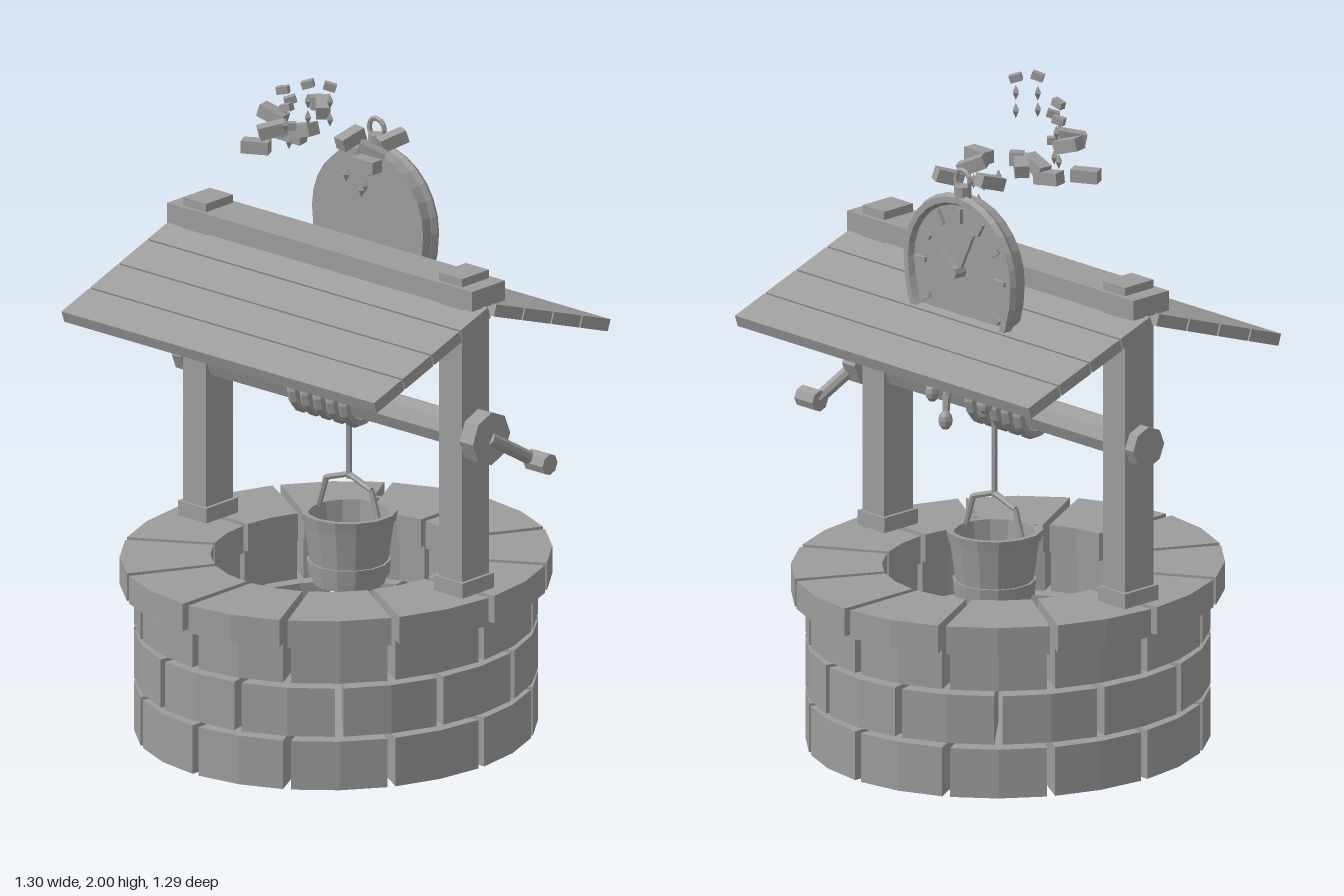
import * as THREE from 'three';

const stone = new THREE.MeshStandardMaterial({ color: 0x9c9c9c, flatShading: true });
stone.name = 'stone grey';
const CX = -0.04; // centre of the well in x

function add(parent, name, geometry, x = 0, y = 0, z = 0) {
  const mesh = new THREE.Mesh(geometry, stone);
  mesh.name = name;
  mesh.position.set(x, y, z);
  parent.add(mesh);
  return mesh;
}

function group(parent, name, x = 0, y = 0, z = 0) {
  const g = new THREE.Group();
  g.name = name;
  g.position.set(x, y, z);
  parent.add(g);
  return g;
}

// Round bar between two points
function bar(parent, name, a, b, r0, r1 = r0, sides = 6) {
  const p = new THREE.Vector3(...a), q = new THREE.Vector3(...b);
  const mesh = add(parent, name, new THREE.CylinderGeometry(r1, r0, p.distanceTo(q), sides));
  mesh.position.copy(p).add(q).multiplyScalar(0.5);
  mesh.quaternion.setFromUnitVectors(new THREE.Vector3(0, 1, 0), q.sub(p).normalize());
  return mesh;
}

// One curved block of a stone ring, 30 degrees wide with a narrow joint
function blockGeometry(inner, outer, height) {
  const shape = new THREE.Shape();
  const point = (r, t, joint) => {
    const a = (t - 0.5) * (Math.PI / 6 - joint / r);
    return new THREE.Vector2(r * Math.cos(a), r * Math.sin(a));
  };
  shape.setFromPoints([
    ...[0, 0.5, 1].map(t => point(outer, t, 0.025)),
    ...[1, 0.5, 0].map(t => point(inner, t, 0.02)),
  ]);
  return new THREE.ExtrudeGeometry(shape, { depth: height, bevelEnabled: false }).rotateX(-Math.PI / 2);
}

function addWall(model) {
  const wall = group(model, 'stoneWall', CX);
  wall.scale.x = 0.94;
  // inner radius, outer radius, bottom, top, angular offset in blocks
  const courses = [
    [0.39, 0.603, 0, 0.148, 0.5], [0.39, 0.603, 0.163, 0.31, 0],
    [0.39, 0.603, 0.325, 0.446, 0.5], [0.375, 0.646, 0.446, 0.53, 0.5],
  ];
  for (const [inner, outer, y0, y1, offset] of courses) {
    const geometry = blockGeometry(inner, outer, y1 - y0);
    for (let i = 0; i < 12; i++) {
      add(wall, 'wallBlock', geometry, 0, y0, 0).rotation.y = (i + offset) * Math.PI / 6;
    }
  }
  add(wall, 'water', new THREE.CylinderGeometry(0.395, 0.395, 0.03, 24), 0, 0.085, 0);
}

function addRoof(model) {
  for (const x of [-0.54, 0.46]) {
    add(model, 'post', new THREE.BoxGeometry(0.09, 0.97, 0.115), x, 1.015, 0);
    add(model, 'postFoot', new THREE.BoxGeometry(0.112, 0.045, 0.135), x, 0.5525, 0);
  }
  add(model, 'ridgeBeam', new THREE.BoxGeometry(1.19, 0.06, 0.142), CX, 1.445, 0);
  for (const side of [-1, 1]) {
    const slope = group(model, 'roofSlope', CX, 1.42, side * 0.015);
    slope.rotation.y = side < 0 ? Math.PI : 0;
    const tilt = group(slope, 'planks');
    tilt.rotation.x = 0.332;
    for (let i = 0; i < 4; i++) {
      add(tilt, 'roofPlank', new THREE.BoxGeometry(1.22, 0.036, 0.125), 0, -0.018, 0.066 + i * 0.131);
    }
  }
}

function addWinch(model) {
  const y = 1.012;
  const winch = group(model, 'winch');
  bar(winch, 'axle', [-0.6, y, 0], [0.53, y, 0], 0.053, 0.053, 8);
  bar(winch, 'leftCollar', [-0.625, y, 0], [-0.59, y, 0], 0.062, 0.062, 8);
  bar(winch, 'rightCollar', [0.515, y, 0], [0.567, y, 0], 0.08, 0.08, 8);
  // Crank
  bar(winch, 'crankArm', [0.56, y, 0], [0.59, 0.912, -0.16], 0.02, 0.02, 8);
  bar(winch, 'crankHandle', [0.575, 0.912, -0.16], [0.65, 0.912, -0.16], 0.032, 0.032, 8);
  // Rope coils and hanging rope
  const coil = new THREE.TorusGeometry(0.064, 0.018, 6, 14).rotateY(Math.PI / 2);
  for (let i = 0; i < 5; i++) add(winch, 'ropeCoil', coil, -0.15 + i * 0.05, y, 0);
  bar(winch, 'rope', [CX, 0.74, -0.055], [CX, 0.99, -0.055], 0.009);
}

function addBucket(model) {
  const bucket = group(model, 'bucket', CX, 0.425, -0.055);
  const profile = [[0, 0], [0.105, 0], [0.134, 0.21], [0.118, 0.21], [0.095, 0.03], [0, 0.03]];
  add(bucket, 'bucketBody', new THREE.LatheGeometry(profile.map(p => new THREE.Vector2(...p)), 14));
  const hoop = (r, r2, h) => new THREE.LatheGeometry(
    [[r - 0.012, 0], [r, 0], [r2, h], [r2 - 0.016, h]].map(p => new THREE.Vector2(...p)), 14);
  add(bucket, 'lowerHoop', hoop(0.118, 0.122, 0.045), 0, 0.025, 0);
  add(bucket, 'upperHoop', hoop(0.137, 0.143, 0.032), 0, 0.19, 0);
  // Bail handle
  const path = [[-0.12, 0.2, 0], [-0.088, 0.298, 0], [0, 0.328, 0], [0.088, 0.298, 0], [0.12, 0.2, 0]];
  for (let i = 0; i < 4; i++) bar(bucket, 'bucketHandle', path[i], path[i + 1], 0.009);
}

// Lower half of the clock sags downwards
function sag(geometry) {
  const p = geometry.attributes.position;
  for (let i = 0; i < p.count; i++) if (p.getY(i) < 0) p.setY(i, p.getY(i) * 1.36);
  geometry.computeVertexNormals();
  return geometry;
}

function addClock(model) {
  const clock = group(model, 'meltingClock', -0.09, 1.48, -0.23);
  add(clock, 'clockBody', sag(new THREE.CylinderGeometry(0.217, 0.222, 0.045, 28).rotateX(Math.PI / 2)), 0, 0, 0.017);
  add(clock, 'clockRim', sag(new THREE.TorusGeometry(0.213, 0.018, 6, 28)), 0, 0, -0.008);
  for (let i = 0; i < 12; i++) {
    const a = i * Math.PI / 6, c = Math.cos(a) * 0.165;
    const mark = add(clock, 'hourMark', new THREE.BoxGeometry(0.014, 0.045, 0.012),
      Math.sin(a) * 0.165, c < 0 ? c * 1.36 : c, -0.011);
    mark.rotation.z = -a;
  }
  bar(clock, 'hub', [0, 0, 0], [0, 0, -0.045], 0.022, 0.018, 8);
  // Hands
  for (const [angle, length] of [[0.45, 0.14], [-1.05, 0.1]]) {
    const hand = group(clock, 'hand', 0, 0, -0.02);
    hand.rotation.z = angle;
    add(hand, 'handBlade', new THREE.BoxGeometry(0.018, length, 0.01), 0, length / 2, 0);
  }
  // Crown and ring
  bar(clock, 'crown', [0, 0.21, 0], [0, 0.255, 0], 0.025, 0.025, 8);
  add(clock, 'crownRing', new THREE.TorusGeometry(0.03, 0.008, 5, 12), 0, 0.272, 0);
  // Drips below the rim
  const drips = [
    [[-0.105, -0.25, -0.01], [-0.125, -0.32, -0.03], [-0.145, -0.365, -0.05]],
    [[0.1, -0.25, -0.01], [0.11, -0.32, -0.025], [0.08, -0.38, -0.045]],
    [[0.02, -0.3, -0.01], [0.03, -0.38, -0.035], [0.02, -0.45, -0.05]],
  ];
  for (const [a, b, c] of drips) {
    bar(clock, 'drip', a, b, 0.015, 0.012);
    bar(clock, 'drip', b, c, 0.012, 0.01);
    add(clock, 'dripEnd', new THREE.SphereGeometry(0.021, 8, 6), ...c).scale.y = 1.4;
  }
}

function addFragments(model) {
  const cloud = group(model, 'fragments');
  // x, y, z, turn, tilt
  const bricks = [
    [-0.27, 1.737, 0.09, 0.5, 0], [-0.17, 1.82, 0.13, 0.9, 0.2], [-0.24, 1.83, 0.05, 0.2, -0.3],
    [-0.25, 1.815, -0.15, -0.7, 0.2], [-0.2, 1.82, -0.12, -0.8, -0.2], [-0.12, 1.735, -0.15, 1.4, 0.3],
    [-0.01, 1.74, -0.21, 1.1, 0.3], [0.02, 1.74, -0.085, 0.6, -0.4], [0.08, 1.738, 0, 0, 0],
    [-0.19, 1.775, -0.03, -0.1, 0.3], [-0.24, 1.75, -0.03, 0.2, -0.1],
  ];
  const chips = [
    [-0.22, 1.905, 0.03, 0.4, 0.2], [-0.155, 1.9, 0.07, 0.8, 0.3], [-0.105, 1.905, 0.14, 0.1, 0.3],
    [-0.05, 1.982, 0.11, 0.6, 0.3], [0, 1.975, 0.07, 0.7, -0.3], [-0.155, 1.82, 0.07, 0.8, 0],
  ];
  const scatter = (list, name, geometry) => {
    for (const [x, y, z, turn, tilt] of list) add(cloud, name, geometry, x, y, z).rotation.set(0, turn, tilt);
  };
  scatter(bricks, 'flyingBrick', new THREE.BoxGeometry(0.082, 0.038, 0.042));
  scatter(chips, 'flyingChip', new THREE.BoxGeometry(0.036, 0.022, 0.022));
  // Small diamond sparks
  const sparks = [
    [0.06, 1.655, 0], [0.0, 1.69, 0], [0.0, 1.635, -0.08], [0.02, 1.69, -0.08], [-0.05, 1.93, 0.11],
    [-0.05, 1.88, 0.11], [0, 1.93, 0.07], [0, 1.875, 0.07], [-0.2, 1.86, 0.04], [-0.11, 1.85, 0.14],
    [-0.16, 1.77, 0.07], [-0.22, 1.78, 0.03],
  ];
  const diamond = new THREE.OctahedronGeometry(0.012).scale(1, 1.9, 1);
  for (const p of sparks) add(cloud, 'spark', diamond, ...p);
}

export function createModel() {
  const model = new THREE.Group();
  model.name = 'wishingWell';
  addWall(model);
  addRoof(model);
  addWinch(model);
  addBucket(model);
  addClock(model);
  addFragments(model);
  return model;
}
